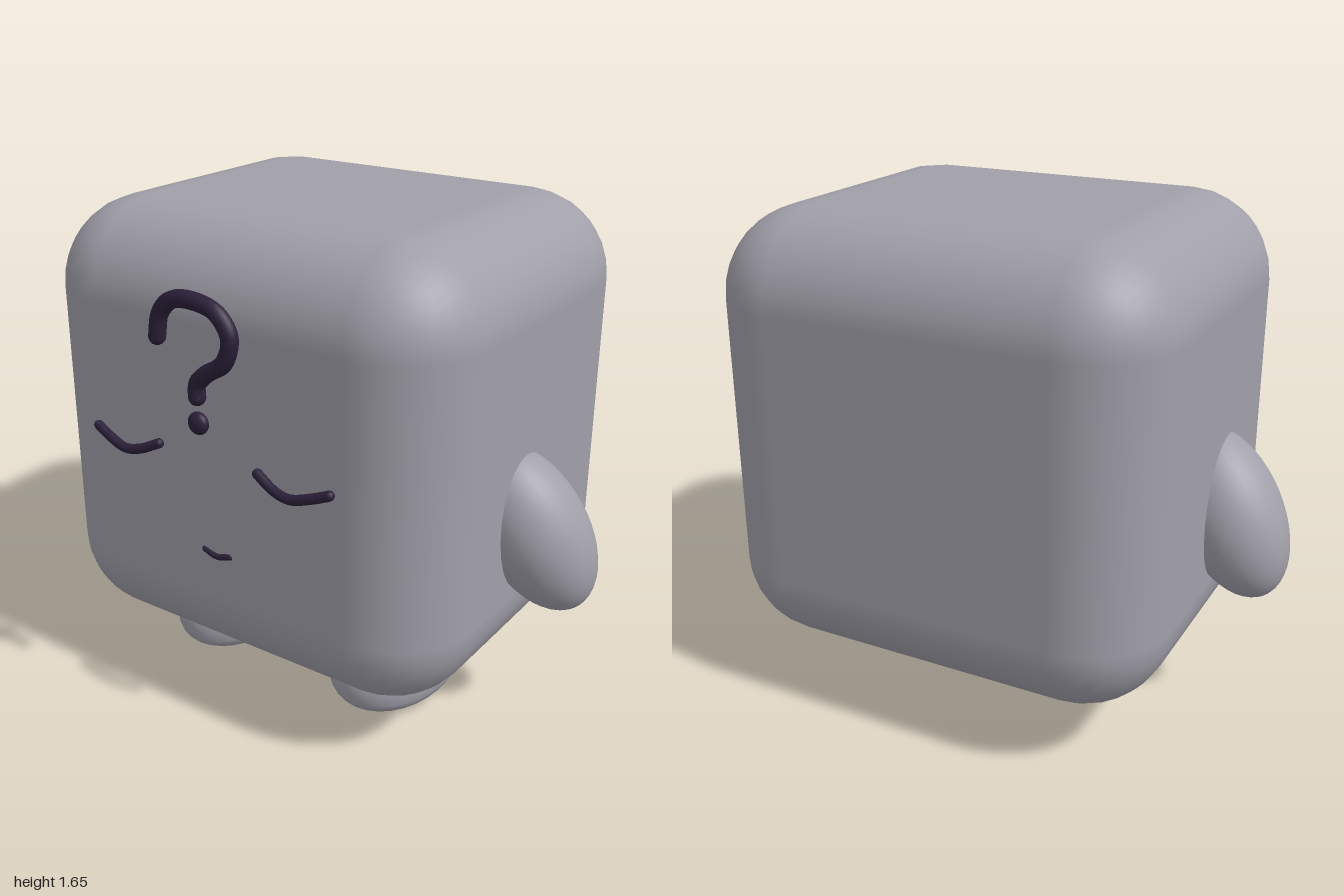
import * as THREE from 'three';
import { RoundedBoxGeometry } from 'three/addons/geometries/RoundedBoxGeometry.js';

export function createModel() {
  const model = new THREE.Group();
  model.name = 'cubeCreature';
  const skin = new THREE.MeshStandardMaterial({ color: 0xa19fa9 });
  skin.name = 'greySkin';
  const ink = new THREE.MeshStandardMaterial({ color: 0x2b2039 });
  ink.name = 'darkPurple';

  const add = (name, geometry, material, parent = model) => {
    const mesh = new THREE.Mesh(geometry, material);
    mesh.name = name;
    parent.add(mesh);
    return mesh;
  };

  // Round-ended stroke through a few points
  const stroke = (name, points, radius) => {
    const group = new THREE.Group();
    group.name = name;
    model.add(group);
    const path = points.map((p) => new THREE.Vector3(...p));
    const curve = new THREE.CatmullRomCurve3(path);
    add(name + 'Line', new THREE.TubeGeometry(curve, points.length * 5, radius, 10), ink, group);
    for (const end of [path[0], path[path.length - 1]]) {
      add(name + 'End', new THREE.SphereGeometry(radius, 10, 8), ink, group).position.copy(end);
    }
    return group;
  };

  // Body: a cube with wide rounded edges
  add('body', new RoundedBoxGeometry(1.52, 1.475, 1.33, 4, 0.29), skin).position.set(0, 0.9175, -0.045);

  // Foot: an ellipsoid with a flattened sole that rises towards the heel
  const footGeometry = new THREE.SphereGeometry(1, 32, 24);
  const pos = footGeometry.attributes.position;
  for (let i = 0; i < pos.count; i++) {
    const x = pos.getX(i), y = pos.getY(i), z = pos.getZ(i);
    const offset = y < 0 ? -0.122 * Math.pow(-y, 0.72) : 0.18 * y;
    pos.setXYZ(i, x * 0.218, Math.max(0.003 * (1 + y), 0.125 - 0.045 * z + offset), z * 0.27 + 0.09);
  }
  footGeometry.computeVertexNormals();

  for (const [side, s] of [['left', 1], ['right', -1]]) {
    // Arm: ellipsoid hanging outwards from the side
    const arm = add(side + 'Arm', new THREE.SphereGeometry(1, 32, 24), skin);
    arm.scale.set(0.172, 0.295, 0.17);
    arm.rotation.set(0.17, 0, s * 0.52);
    arm.position.set(s * 0.785, 0.695, 0.01);

    add(side + 'Foot', footGeometry, skin).position.x = s * 0.343;

    // Closed eye
    stroke(side + 'Eye', [
      [s * 0.45, 0.968, 0.65], [s * 0.39, 0.945, 0.66], [s * 0.32, 0.927, 0.667],
      [s * 0.26, 0.938, 0.663], [s * 0.193, 0.968, 0.65],
    ], 0.016);
  }

  // Mouth
  stroke('mouth', [[-0.05, 0.63, 0.617], [0, 0.618, 0.62], [0.05, 0.63, 0.617]], 0.011);

  // Question mark floating in front of the forehead
  stroke('questionHook', [
    [-0.145, 1.335], [-0.128, 1.41], [-0.08, 1.457], [0, 1.467], [0.085, 1.445], [0.13, 1.38],
    [0.105, 1.3], [0.04, 1.255], [0.002, 1.215], [0, 1.175],
  ].map(([x, y]) => [x, y, 0.68]), 0.027);
  const dot = add('questionDot', new THREE.SphereGeometry(0.036, 16, 12), ink);
  dot.scale.z = 0.65;
  dot.position.set(0, 1.092, 0.68);

  return model;
}
